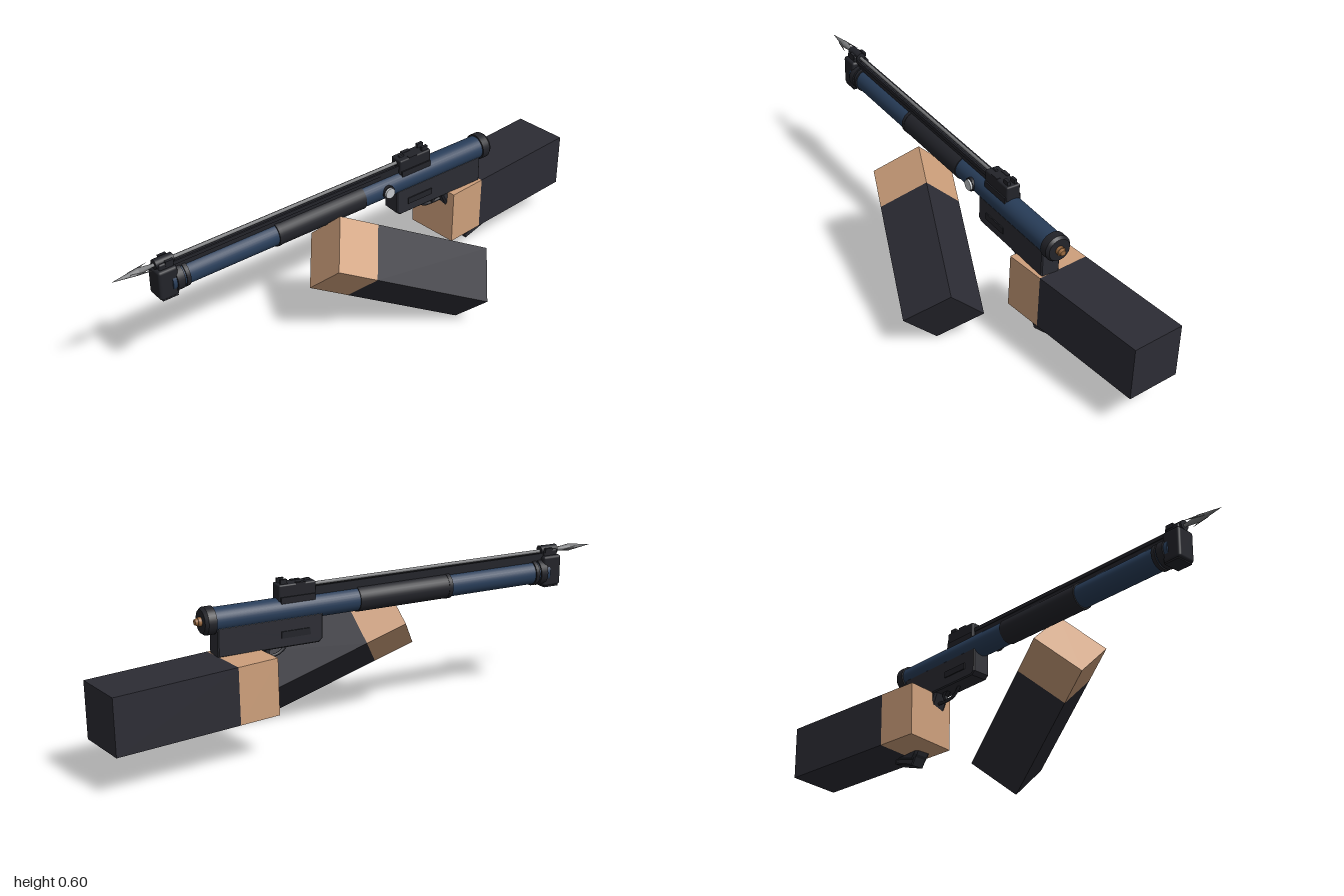
import * as THREE from 'three';
import { RoundedBoxGeometry } from 'three/addons/geometries/RoundedBoxGeometry.js';

const mat = (name, color) => Object.assign(new THREE.MeshStandardMaterial({ color }), { name });

export function createModel() {
  const model = new THREE.Group();
  model.name = 'spearGunWithArms';
  const skin = mat('skin', 0xcd9f7b);
  const sleeve = mat('sleeve', 0x2c2c34);
  const black = mat('black polymer', 0x222329);
  const grey = mat('dark grey', 0x2b2c33);
  const blue = mat('navy blue', 0x283d59);
  const steel = mat('steel', 0x77787a);
  const silver = mat('silver', 0xc4c8cc);
  const brass = mat('brass', 0x9a6a40);

  const gun = new THREE.Group();
  gun.name = 'spearGun';
  gun.position.x = -0.1;
  model.add(gun);

  const add = (name, geometry, material, parent = gun) => {
    const mesh = new THREE.Mesh(geometry, material);
    mesh.name = name;
    parent.add(mesh);
    return mesh;
  };
  // Box given by its centre and size
  const box = (name, m, x, y, z, w, h, d, r = 0) => {
    const g = r ? new RoundedBoxGeometry(w, h, d, 2, r) : new THREE.BoxGeometry(w, h, d);
    return add(name, g.translate(x, y, z), m);
  };
  // Cylinder along z from z0 to z1
  const rod = (name, m, y, z0, z1, r0, r1 = r0, x = 0, sides = 32) =>
    add(name, new THREE.CylinderGeometry(r1, r0, z1 - z0, sides)
      .rotateX(Math.PI / 2).translate(x, y, (z0 + z1) / 2), m);
  // Side profile of [z, y] points given a width across x
  const profile = (name, m, points, width, bevel = 0.004) => {
    const shape = new THREE.Shape(points.map(([z, y]) => new THREE.Vector2(z, y)));
    const g = new THREE.ExtrudeGeometry(shape, {
      depth: width - 2 * bevel, bevelEnabled: bevel > 0, bevelSize: bevel,
      bevelThickness: bevel, bevelOffset: -bevel, bevelSegments: 1,
    });
    return add(name, g.rotateY(-Math.PI / 2).translate(width / 2 - bevel, 0, 0), m);
  };

  // Barrel tube with its sleeve, collars and end cap
  const axis = 0.491;
  rod('barrel', blue, axis, -0.56, 0.8, 0.043);
  rod('barrelSleeve', black, axis, 0, 0.375, 0.0465);
  rod('sleeveFrontRing', black, axis, 0.36, 0.375, 0.048);
  rod('muzzleCollar', black, axis, 0.735, 0.75, 0.048);
  rod('muzzleCollar', black, axis, 0.757, 0.785, 0.049);
  rod('endCap', black, axis, -0.575, -0.545, 0.049);
  rod('endCapBevel', black, axis, -0.586, -0.575, 0.041, 0.049);
  rod('valve', brass, axis, -0.598, -0.58, 0.016);
  rod('valveTip', brass, axis, -0.608, -0.595, 0.01, 0.014);

  // Muzzle block
  box('muzzleBlock', black, 0, 0.497, 0.812, 0.074, 0.114, 0.074, 0.01);
  box('muzzleFoot', black, 0, 0.442, 0.81, 0.066, 0.012, 0.06);
  box('muzzleTop', black, 0, 0.562, 0.81, 0.05, 0.026, 0.056, 0.006);
  rod('muzzleGuide', black, 0.57, 0.775, 0.845, 0.018);
  for (const s of [-1, 1]) {
    box('guideLug', black, s * 0.022, 0.573, 0.8, 0.01, 0.016, 0.03);
  }

  // Rail and spear
  box('rail', black, 0, 0.541, 0.29, 0.028, 0.024, 0.98);
  for (const s of [-1, 1]) box('railLip', black, s * 0.014, 0.556, 0.29, 0.007, 0.014, 0.98);
  rod('spearShaft', steel, 0.568, -0.2, 0.9, 0.0065, 0.0065, 0, 12);
  rod('spearNeck', steel, 0.568, 0.85, 0.905, 0.006, 0.013, 0, 12);
  rod('spearPoint', steel, 0.568, 0.905, 1, 0.013, 0.0005, 0, 12);
  for (const s of [-1, 1]) {
    const barb = add('spearBarb', new THREE.ConeGeometry(0.005, 0.085, 6)
      .rotateX(-Math.PI / 2).translate(0, 0, -0.0425), steel);
    barb.position.set(s * 0.008, 0.568, 0.935);
    barb.rotation.y = -s * 0.25;
  }

  // Rear sight housing
  box('sightHousing', black, 0, 0.555, -0.237, 0.054, 0.06, 0.14, 0.006);
  box('sightBase', black, 0, 0.53, -0.237, 0.064, 0.024, 0.13);
  for (const s of [-1, 1]) {
    box('sightPost', black, s * 0.0135, 0.59, -0.285, 0.011, 0.022, 0.025);
    box('sightShoulder', black, s * 0.02, 0.577, -0.225, 0.014, 0.02, 0.035);
  }
  box('sightBlade', grey, 0, 0.587, -0.19, 0.008, 0.01, 0.02);

  // Round silver button on the left side
  add('buttonSeat', new THREE.CylinderGeometry(0.025, 0.025, 0.02, 24)
    .rotateZ(Math.PI / 2).translate(0.037, axis, -0.1), black);
  add('button', new THREE.CylinderGeometry(0.02, 0.02, 0.02, 24)
    .rotateZ(Math.PI / 2).translate(0.045, axis, -0.1), silver);

  // Receiver with side panels
  profile('receiver', grey, [[-0.145, 0.47], [-0.145, 0.378], [-0.16, 0.365],
    [-0.54, 0.365], [-0.54, 0.47]], 0.072);
  for (const s of [-1, 1]) {
    box('sidePanel', black, s * 0.037, 0.412, -0.25, 0.006, 0.024, 0.11);
  }

  // Grip leaning back, with a foot plate
  profile('grip', grey, [[-0.36, 0.37], [-0.4, 0.28], [-0.47, 0.15], [-0.49, 0.13],
    [-0.595, 0.163], [-0.53, 0.27], [-0.5, 0.37]], 0.064, 0.008);
  profile('gripFoot', grey, [[-0.478, 0.142], [-0.495, 0.113], [-0.595, 0.147],
    [-0.592, 0.165]], 0.054);

  // Trigger and its guard
  const guardPath = new THREE.CatmullRomCurve3([[0.37, -0.265], [0.35, -0.28], [0.334, -0.305],
    [0.33, -0.34], [0.332, -0.39]].map(([y, z]) => new THREE.Vector3(0, y, z)));
  add('triggerGuard', new THREE.TubeGeometry(guardPath, 20, 0.006, 8), black);
  profile('trigger', black, [[-0.32, 0.37], [-0.338, 0.35], [-0.332, 0.332],
    [-0.342, 0.332], [-0.352, 0.35], [-0.345, 0.37]], 0.016, 0);

  // Square arms: hand end at `front`, running back along `along`
  const arm = (name, front, along, across) => {
    const z = new THREE.Vector3(...along).normalize().negate();
    const y = new THREE.Vector3().crossVectors(z, new THREE.Vector3(...across)).normalize();
    const x = new THREE.Vector3().crossVectors(y, z);
    const g = new THREE.Group();
    g.name = name;
    g.quaternion.setFromRotationMatrix(new THREE.Matrix4().makeBasis(x, y, z));
    g.position.set(...front);
    const t = 0.205, hand = 0.154, length = 0.616;
    add('hand', new THREE.BoxGeometry(t, t, hand).translate(0, 0, -hand / 2), skin, g);
    add('sleeve', new THREE.BoxGeometry(t, t, length - hand)
      .translate(0, 0, -(length + hand) / 2), sleeve, g);
    model.add(g);
  };
  arm('leftArm', [-0.008, 0.396, 0.222], [0.182, -0.263, -0.527], [0.147, 0.142, -0.02]);
  arm('rightArm', [-0.138, 0.268, -0.378], [-0.073, -0.015, -0.612], [0.205, 0, -0.025]);

  return model;
}
